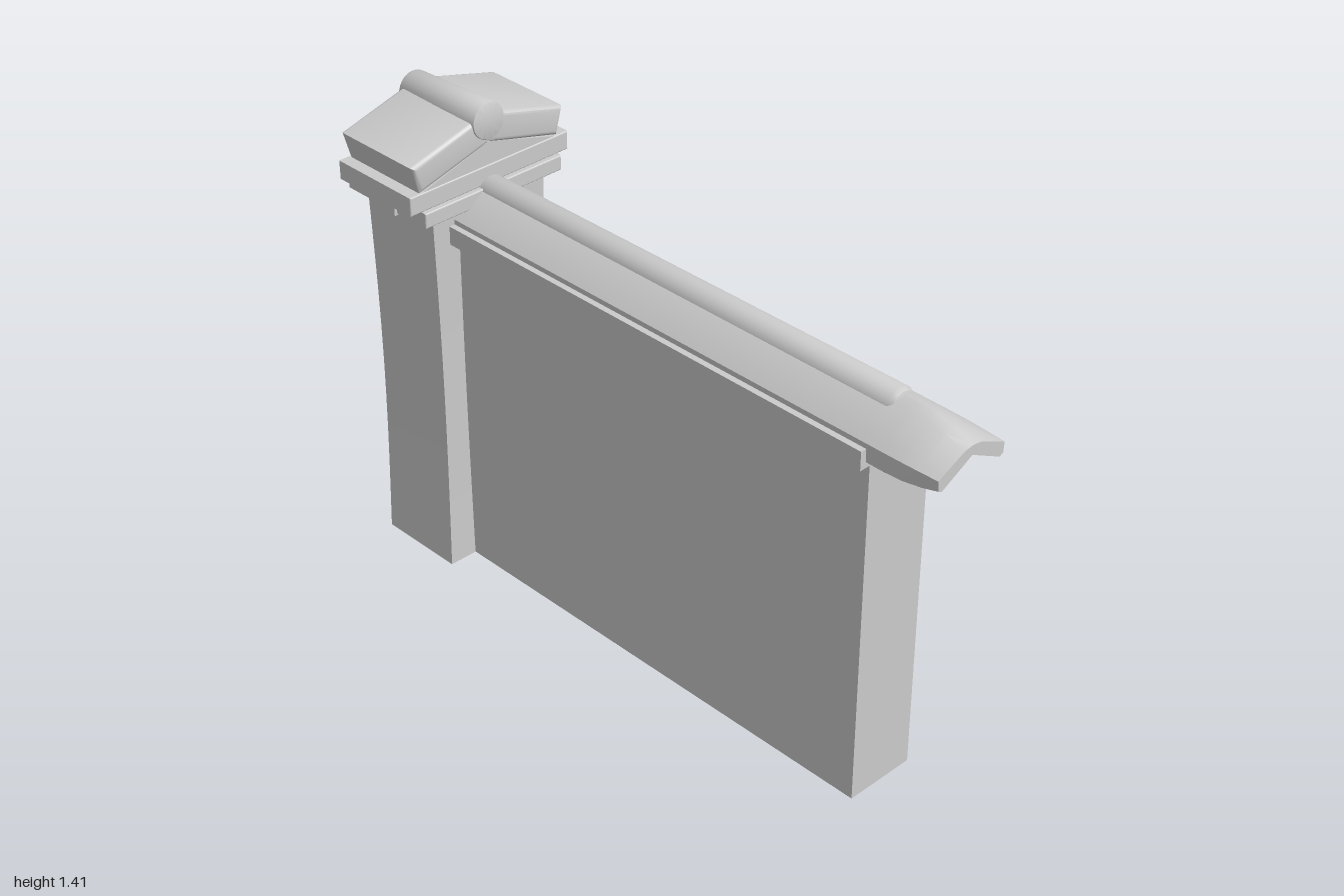
import * as THREE from 'three';
import { toCreasedNormals } from 'three/addons/utils/BufferGeometryUtils.js';

const material = new THREE.MeshStandardMaterial({ color: 0xcccccc });

// Prism along x with a cross-section of [z, y] points
function prism(points, x0, x1, bevel = 0, steps = 1) {
  const shape = new THREE.Shape(points.map(([z, y]) => new THREE.Vector2(-z, y)));
  const g = new THREE.ExtrudeGeometry(shape, {
    depth: x1 - x0 - 2 * bevel, steps, bevelEnabled: bevel > 0,
    bevelThickness: bevel, bevelSize: bevel, bevelOffset: -bevel, bevelSegments: 3,
  });
  g.rotateY(Math.PI / 2).translate(x0 + bevel, 0, 0);
  return g;
}

const rect = (half, y0, y1) => [[-half, y0], [half, y0], [half, y1], [-half, y1]];

// Round bar along x with softened ends
function roll(radius, length, soft) {
  const h = length / 2;
  const profile = [[0, -h], [radius - soft, -h], [radius - soft * 0.3, -h + soft * 0.3], [radius, -h + soft],
    [radius, h - soft], [radius - soft * 0.3, h - soft * 0.3], [radius - soft, h], [0, h]];
  const g = new THREE.LatheGeometry(profile.map(([r, y]) => new THREE.Vector2(r, y)), 28);
  return toCreasedNormals(g.rotateZ(-Math.PI / 2), 0.7);
}

// Move every vertex by a rule and rebuild the normals
function deform(g, rule) {
  const p = g.attributes.position;
  const v = new THREE.Vector3();
  for (let i = 0; i < p.count; i++) {
    rule(v.fromBufferAttribute(p, i));
    p.setXYZ(i, v.x, v.y, v.z);
  }
  return toCreasedNormals(g, 0.5);
}

export function createModel() {
  const model = new THREE.Group();
  const body = new THREE.Group();
  body.name = 'gatePostAndWall';
  // The whole piece sits slightly askew around the post
  body.position.x = -0.827;
  body.rotation.y = 0.03;
  model.add(body);

  const add = (name, geometry) => {
    const mesh = new THREE.Mesh(geometry, material);
    mesh.name = name;
    body.add(mesh);
    return mesh;
  };

  // Post with a gentle waist
  const post = new THREE.BoxGeometry(0.274, 1.14, 0.392, 1, 10, 1).translate(0, 0.57, 0);
  add('post', deform(post, (v) => {
    const waist = Math.sin(Math.PI * v.y / 1.14);
    v.z *= 1 - 0.055 * waist;
    v.x *= 1 - 0.03 * waist;
  }));

  // Post cap: slab, side tabs, gabled block
  add('capSlab', prism(rect(0.239, 1.13, 1.175), -0.163, 0.163, 0.004));
  for (const s of [-1, 1]) {
    add('capTab', new THREE.BoxGeometry(0.07, 0.045, 0.02).translate(0.008, 1.148, s * 0.238));
  }
  add('capEaveSlab', prism(rect(0.276, 1.175, 1.23), -0.149, 0.149, 0.004));
  add('capGable', prism([[-0.245, 1.225], [0.245, 1.225], [0, 1.297]], -0.146, 0.146));

  // Post roof: two thick rounded slabs and a ridge roll
  for (const s of [-1, 1]) {
    const points = [[0, 1.293], [s * 0.24, 1.229], [s * 0.263, 1.31], [0, 1.382]];
    add('capRoofSlab', toCreasedNormals(prism(points, -0.15, 0.15, 0.014), 0.6));
  }
  const capRidge = add('capRidge', roll(0.053, 0.31, 0.003));
  capRidge.position.set(0, 1.354, 0.004);
  capRidge.rotation.z = 0.05;

  // Wall with a peaked top hidden under its roof
  add('wall', prism([[-0.107, 0], [0.107, 0], [0.107, 1.07], [0, 1.15], [-0.107, 1.07]], 0.1, 1.612));
  add('wallTrim', prism(rect(0.14, 1.035, 1.09), 0.1, 1.612));

  // Wall roof: bent shell that tapers at its overhanging end
  const shell = [[0, 1.138], [0.108, 1.04], [0.121, 1.052], [0.123, 1.105], [0.108, 1.118], [0.03, 1.18],
    [0, 1.188], [-0.03, 1.18], [-0.108, 1.118], [-0.123, 1.105], [-0.121, 1.052], [-0.108, 1.04]];
  add('wallRoof', deform(prism(shell, 0.1, 1.827, 0, 30), (v) => {
    const t = Math.max(0, (v.x - 1.66) / 0.167);
    v.y += (1.1 - v.y) * 0.45 * t * t;
    v.z *= 1 - 0.05 * t * t;
  }));

  const wallRidge = add('wallRidge', roll(0.048, 1.5, 0.02));
  wallRidge.position.set(0.87, 1.151, 0);
  wallRidge.rotation.z = 0.003;

  return model;
}
